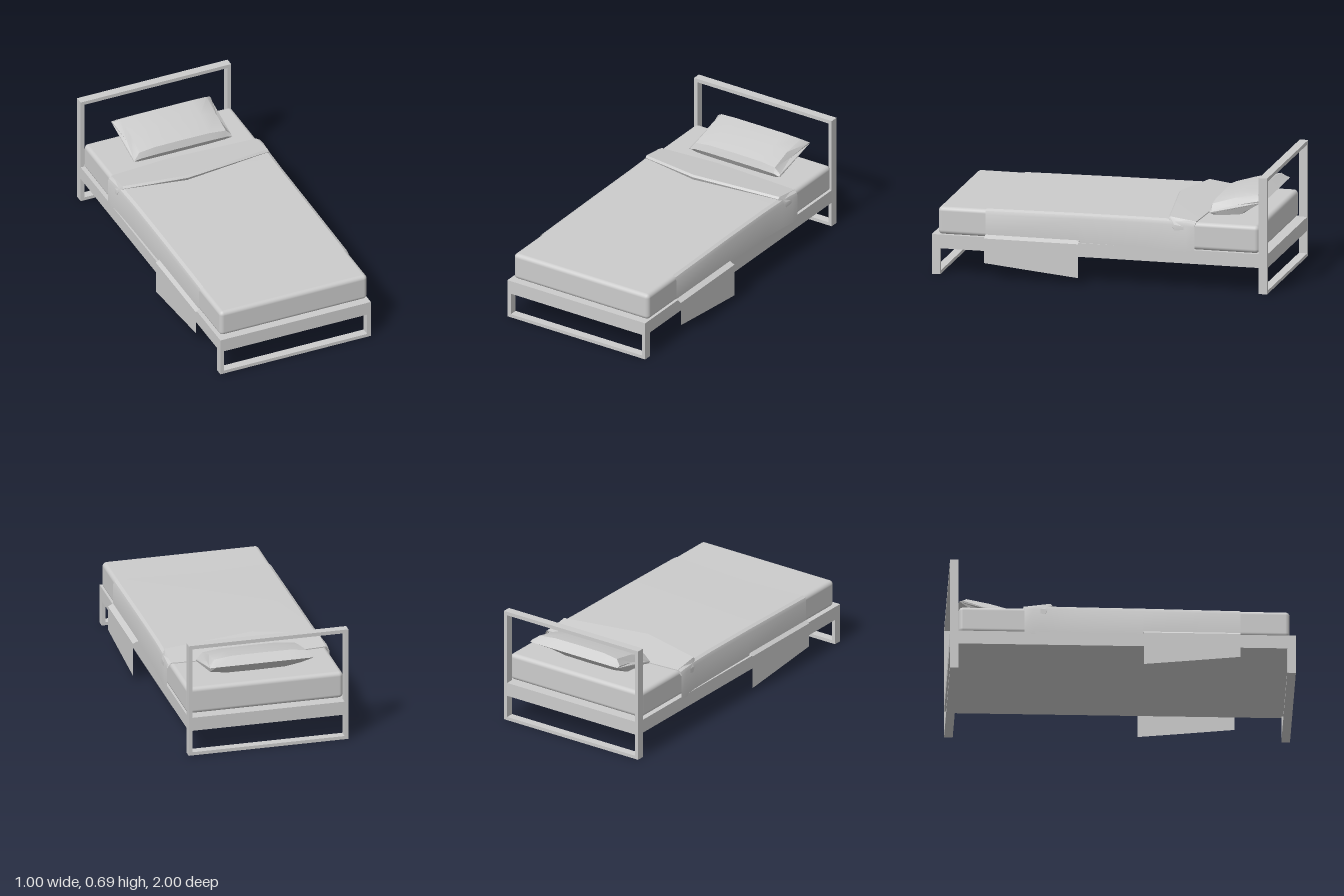
import * as THREE from 'three';
import { toCreasedNormals } from 'three/addons/utils/BufferGeometryUtils.js';
import { RoundedBoxGeometry } from 'three/addons/geometries/RoundedBoxGeometry.js';

const solid = new THREE.MeshStandardMaterial({ color: 0xcccccc });
const cloth = new THREE.MeshStandardMaterial({ color: 0xcccccc, side: THREE.DoubleSide });

// Box given by its minimum and maximum corners
function box(name, [x0, y0, z0], [x1, y1, z1]) {
  const geo = new THREE.BoxGeometry(x1 - x0, y1 - y0, z1 - z0);
  geo.translate((x0 + x1) / 2, (y0 + y1) / 2, (z0 + z1) / 2);
  const mesh = new THREE.Mesh(geo, solid);
  mesh.name = name;
  return mesh;
}

// Skin over a row of equal-length sections of [x, y, z] points
function loft(name, sections, closed, crease = 0.5) {
  const n = sections[0].length, index = [];
  const steps = closed ? n : n - 1;
  for (let i = 0; i < sections.length - 1; i++) {
    for (let j = 0; j < steps; j++) {
      const a = i * n + j, b = i * n + (j + 1) % n;
      index.push(a, b, a + n, b, b + n, a + n);
    }
  }
  if (closed) {
    const last = (sections.length - 1) * n;
    for (let j = 1; j < n - 1; j++) index.push(0, j + 1, j, last, last + j, last + j + 1);
  }
  const geo = new THREE.BufferGeometry();
  geo.setAttribute('position', new THREE.Float32BufferAttribute(sections.flat(2), 3));
  geo.setIndex(index);
  const mesh = new THREE.Mesh(toCreasedNormals(geo, crease), cloth);
  mesh.name = name;
  return mesh;
}

function createFrame() {
  const frame = new THREE.Group();
  frame.name = 'frame';
  const L = -0.49, R = 0.465, t = 0.023, d = 0.05;
  frame.add(box('base', [L, 0.155, -1], [R, 0.237, 1]));
  // Open rectangles at the foot and the head
  for (const [end, z, top] of [['foot', 1 - d, 0.155], ['head', -1, 0.155]]) {
    frame.add(box(end + 'LegRight', [L, 0, z], [L + t, top, z + d]));
    frame.add(box(end + 'LegLeft', [R - t, 0, z], [R, top, z + d]));
    frame.add(box(end + 'FloorBar', [L + t, 0, z], [R - t, 0.02, z + d]));
  }
  frame.add(box('headPostRight', [L, 0.237, -1], [L + t, 0.69, -1 + d]));
  frame.add(box('headPostLeft', [R - t, 0.237, -1], [R, 0.69, -1 + d]));
  frame.add(box('headTopBar', [L + t, 0.668, -1], [R - t, 0.69, -1 + d]));
  return frame;
}

function createMattress() {
  const geo = new RoundedBoxGeometry(0.936, 0.163, 1.914, 3, 0.025);
  const mesh = new THREE.Mesh(geo, solid);
  mesh.position.set(-0.006, 0.3185, 0.008);
  mesh.name = 'mattress';
  return mesh;
}

function createBlanket() {
  const blanket = new THREE.Group();
  blanket.name = 'blanket';
  const c = -0.005;
  // Stations: z, half width, top height, hem height, z shift of the middle
  const stations = [
    [0.68, 0.474, 0.404, 0.252, -0.037],
    [0.12, 0.474, 0.411, 0.252, 0],
    [0.119, 0.474, 0.411, 0.24, 0],
    [-0.25, 0.475, 0.413, 0.237, 0],
    [-0.42, 0.479, 0.413, 0.227, 0],
    [-0.52, 0.486, 0.411, 0.222, 0],
    [-0.57, 0.486, 0.405, 0.226, -0.025],
  ];
  blanket.add(loft('cover', stations.map(([z, w, top, hem, dz]) => [
    [c - w, hem, z], [c - w, top - 0.03, z], [c - w + 0.007, top - 0.01, z], [c - w + 0.025, top, z],
    [-0.07, top + 0.002, z + dz],
    [c + w - 0.025, top, z], [c + w - 0.007, top - 0.01, z], [c + w, top - 0.03, z], [c + w, hem, z],
  ]), false));

  // Turned-down top with a raised, pointed front edge: x, back z, back y, front z, front y
  const fold = [
    [-0.488, -0.565, 0.37, -0.45, 0.385],
    [-0.466, -0.575, 0.406, -0.418, 0.428],
    [-0.09, -0.6, 0.406, -0.342, 0.446],
    [0.455, -0.575, 0.406, -0.418, 0.428],
    [0.48, -0.565, 0.37, -0.45, 0.385],
  ];
  blanket.add(loft('foldedTop', fold.map(([x, bz, by, fz, fy]) => [
    [x, by - 0.006, bz], [x, by, bz], [x, fy, fz], [x, fy - 0.012, fz + 0.01], [x, fy - 0.034, fz],
  ]), true));

  // Loose flaps that step over the frame and hang down
  for (const s of [1, -1]) {
    const flap = [[0.68, 0.092], [0.4, 0.064], [0.12, 0.037]].map(([z, low]) => {
      const row = [[c + s * 0.474, 0.254, z], [s * 0.5, 0.238, z], [s * 0.5, low, z]];
      return s > 0 ? row : row.reverse();
    });
    blanket.add(loft(s > 0 ? 'flapLeft' : 'flapRight', flap, false));
  }
  return blanket;
}

function createPillow() {
  // Plump side profile and the flat seam it pinches to, as [z, y]
  const full = [[-0.945, 0.512], [-0.89, 0.552], [-0.76, 0.53], [-0.627, 0.488],
    [-0.613, 0.445], [-0.64, 0.405], [-0.79, 0.405]];
  const seam = [[-0.94, 0.51], [-0.92, 0.516], [-0.77, 0.478], [-0.63, 0.44],
    [-0.618, 0.43], [-0.63, 0.424], [-0.78, 0.46]];
  const pull = [0, 0, 1, 0.1, 0, 0.1, 1];
  // Stations: x, plumpness, inward pull of the end
  const stations = [[-0.302, 0, 0.022], [-0.265, 0.75, 0.005], [-0.165, 1, 0], [0.01, 1.03, 0],
    [0.18, 1, 0], [0.285, 0.75, -0.005], [0.322, 0, -0.026]];
  return loft('pillow', stations.map(([x, p, inward]) => full.map(([z, y], i) => [
    x + inward * pull[i],
    THREE.MathUtils.lerp(seam[i][1], y, p),
    THREE.MathUtils.lerp(seam[i][0], z, p),
  ])), true, 0.6);
}

export function createModel() {
  const bed = new THREE.Group();
  bed.name = 'bed';
  bed.add(createFrame(), createMattress(), createBlanket(), createPillow());
  return bed;
}
